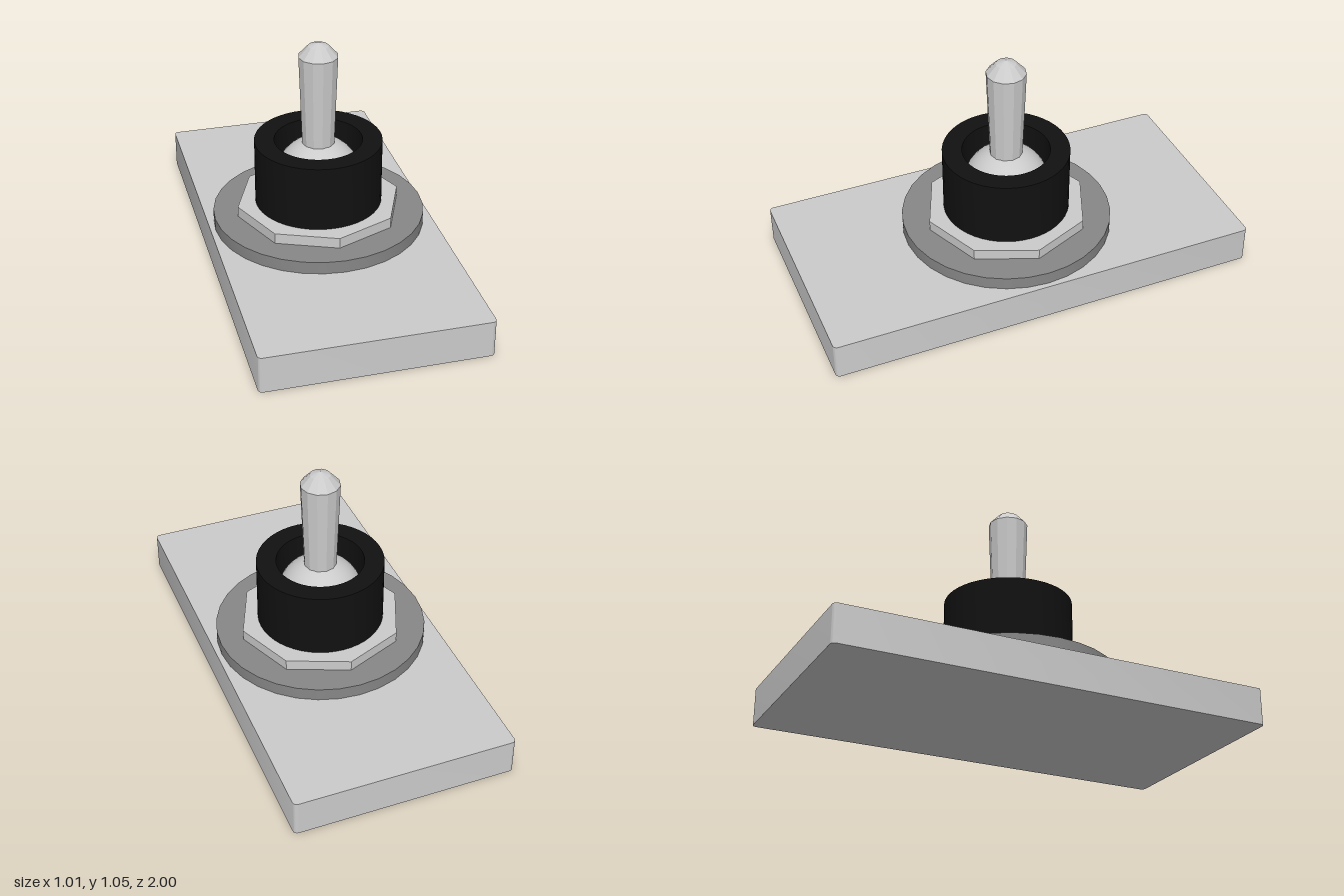
import * as THREE from 'three';
import { toCreasedNormals } from 'three/addons/utils/BufferGeometryUtils.js';

const steel = new THREE.MeshStandardMaterial({ color: 0xcccccc });
const darkSteel = new THREE.MeshStandardMaterial({ color: 0x878787 });
const black = new THREE.MeshStandardMaterial({ color: 0x111111 });
const faceted = new THREE.MeshStandardMaterial({ color: 0xcccccc, flatShading: true });

// Upright slab: a flat outline raised from y0 to y1
function slab(name, shape, y0, y1, material, curveSegments = 12) {
  let geometry = new THREE.ExtrudeGeometry(shape, { depth: y1 - y0, bevelEnabled: false, curveSegments });
  geometry.rotateX(-Math.PI / 2);
  geometry = toCreasedNormals(geometry, Math.PI / 6);
  const mesh = new THREE.Mesh(geometry, material);
  mesh.name = name;
  mesh.position.y = y0;
  return mesh;
}

function roundedRect(w, d, r) {
  const s = new THREE.Shape();
  s.absarc(w - r, d - r, r, 0, Math.PI / 2);
  s.absarc(-w + r, d - r, r, Math.PI / 2, Math.PI);
  s.absarc(-w + r, -d + r, r, Math.PI, Math.PI * 1.5);
  s.absarc(w - r, -d + r, r, Math.PI * 1.5, Math.PI * 2);
  s.closePath();
  return s;
}

function polygon(radius, sides) {
  const points = [];
  for (let i = 0; i < sides; i++) {
    const a = (i / sides) * Math.PI * 2;
    points.push(new THREE.Vector2(radius * Math.cos(a), radius * Math.sin(a)));
  }
  return new THREE.Shape(points);
}

export function createModel() {
  const model = new THREE.Group();
  model.name = 'toggleSwitch';

  // Mounting plate, washer and octagonal nut
  model.add(slab('basePlate', roundedRect(0.507, 1, 0.02), 0, 0.17, steel, 6));
  model.add(slab('washer', polygon(0.484, 32), 0.17, 0.228, darkSteel));
  model.add(slab('nut', polygon(0.378, 8), 0.228, 0.277, steel));

  // Hollow collar
  const ring = polygon(0.29, 48);
  ring.holes.push(polygon(0.2, 48));
  model.add(slab('collar', ring, 0.277, 0.58, black));

  // Pivot ball seated in the collar
  const ball = new THREE.Mesh(new THREE.SphereGeometry(0.199, 32, 20), steel);
  ball.name = 'pivotBall';
  ball.position.y = 0.381;
  model.add(ball);

  // Tapered lever with a domed tip
  const profile = [[0, 0.45], [0.07, 0.45], [0.075, 0.58], [0.09, 0.99], [0.046, 1.038], [0, 1.055]]
    .map(([r, y]) => new THREE.Vector2(r, y));
  const lever = new THREE.Mesh(new THREE.LatheGeometry(profile, 12), faceted);
  lever.name = 'lever';
  model.add(lever);

  return model;
}
